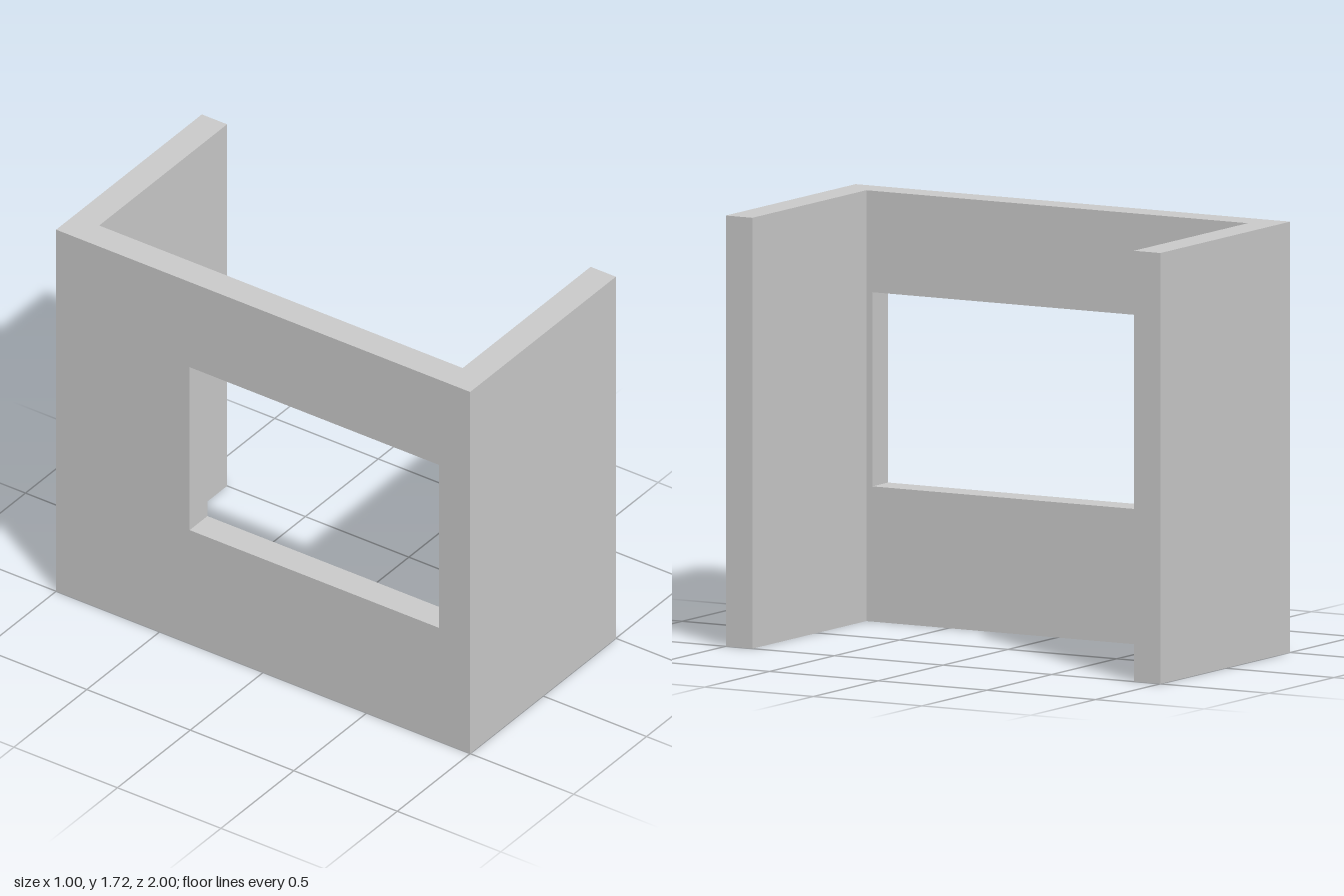
import * as THREE from 'three';

const HEIGHT = 1.72, HALF_W = 0.5, HALF_D = 1, THICK = 0.122;

// Adds a rectangle to a shape or path
function rect(path, x0, y0, x1, y1) {
  path.moveTo(x0, y0);
  path.lineTo(x1, y0);
  path.lineTo(x1, y1);
  path.lineTo(x0, y1);
  path.closePath();
  return path;
}

export function createModel() {
  const model = new THREE.Group();
  model.name = 'threeSidedEnclosure';
  const material = new THREE.MeshStandardMaterial({ color: 0xcccccc });
  const innerX = -HALF_W + THICK;

  // Long wall with an off-centre window, drawn in z-y and extruded towards -x
  const outline = rect(new THREE.Shape(), -HALF_D, 0, HALF_D, HEIGHT);
  outline.holes.push(rect(new THREE.Path(), -0.355, 0.54, 0.85, 1.315));
  const wallGeometry = new THREE.ExtrudeGeometry(outline, { depth: THICK, bevelEnabled: false });
  wallGeometry.rotateY(-Math.PI / 2).translate(innerX, 0, 0);
  const wall = new THREE.Mesh(wallGeometry, material);
  wall.name = 'windowWall';
  model.add(wall);

  // Matching end walls, front and back
  const length = HALF_W - innerX;
  for (const [name, side] of [['frontWall', 1], ['backWall', -1]]) {
    const end = new THREE.Mesh(new THREE.BoxGeometry(length, HEIGHT, THICK), material);
    end.position.set(innerX + length / 2, HEIGHT / 2, side * (HALF_D - THICK / 2));
    end.name = name;
    model.add(end);
  }
  return model;
}
